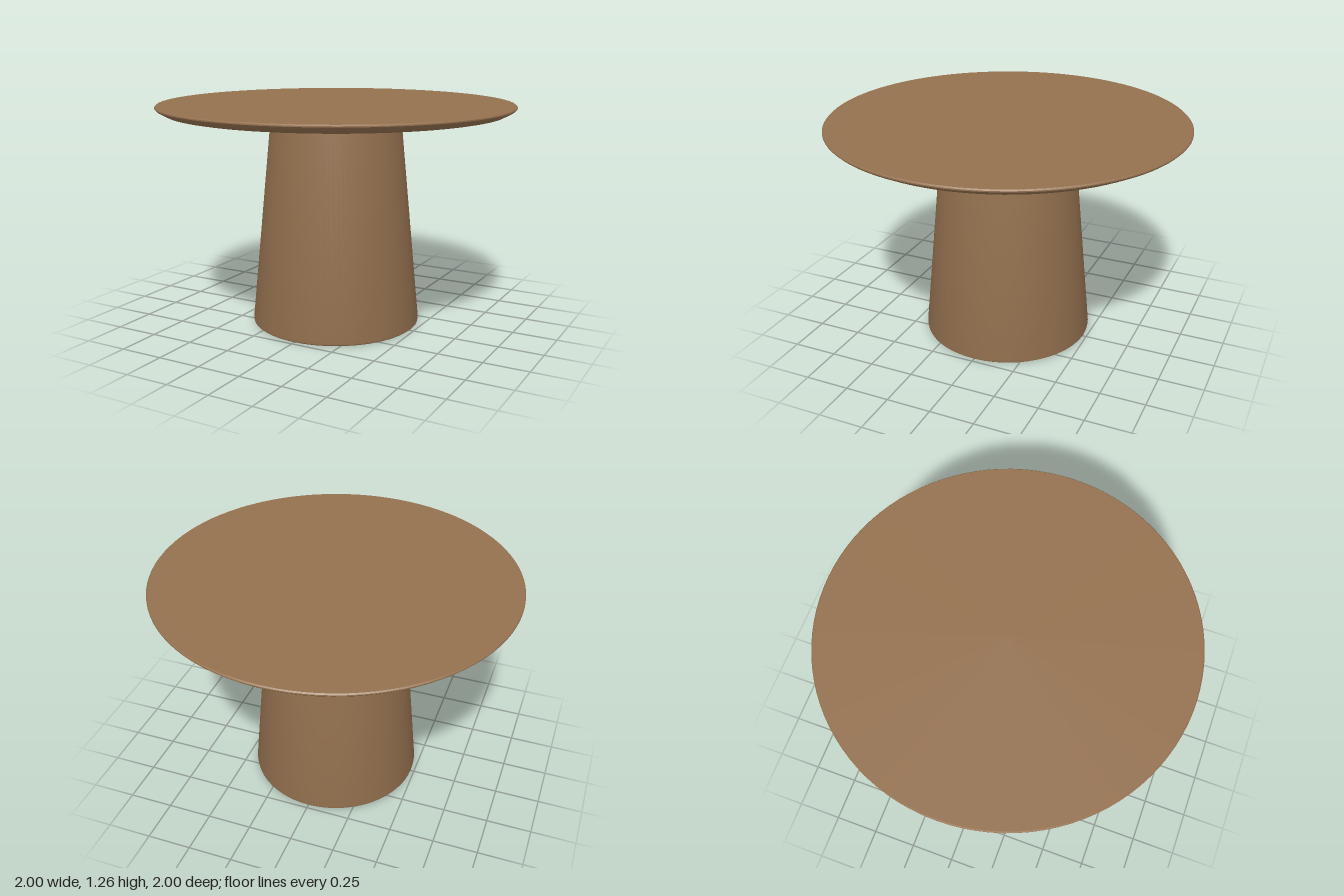
import * as THREE from 'three';
import { toCreasedNormals } from 'three/addons/utils/BufferGeometryUtils.js';

const SEGMENTS = 96;

// Turned part: profile of [radius, y], running from the underside outward and up
function turned(name, profile, material) {
  const points = profile.map(([r, y]) => new THREE.Vector2(r, y));
  const geometry = toCreasedNormals(new THREE.LatheGeometry(points, SEGMENTS), 0.6);
  const mesh = new THREE.Mesh(geometry, material);
  mesh.name = name;
  return mesh;
}

export function createModel() {
  const table = new THREE.Group();
  table.name = 'roundTable';
  const wood = new THREE.MeshStandardMaterial({ color: 0x94714f });
  wood.name = 'brownWood';

  // Thin round top with a bevelled underside edge
  table.add(turned('tableTop', [
    [0, 1.214], [0.92, 1.214], [0.945, 1.219], [0.99, 1.243],
    [1, 1.253], [1, 1.259], [0.994, 1.265], [0, 1.265],
  ], wood));

  // Shallow mounting plate beneath the top
  table.add(turned('mountingPlate', [
    [0, 1.185], [0.5, 1.185], [0.53, 1.19], [0.565, 1.205], [0.61, 1.216],
  ], wood));

  // Hollow tapered pedestal, open at the floor with a rounded rim
  table.add(turned('pedestal', [
    [0, 1.18], [0.34, 1.18], [0.452, 0.02], [0.455, 0.005], [0.462, 0],
    [0.472, 0], [0.48, 0.006], [0.482, 0.02], [0.367, 1.188],
  ], wood));

  return table;
}
